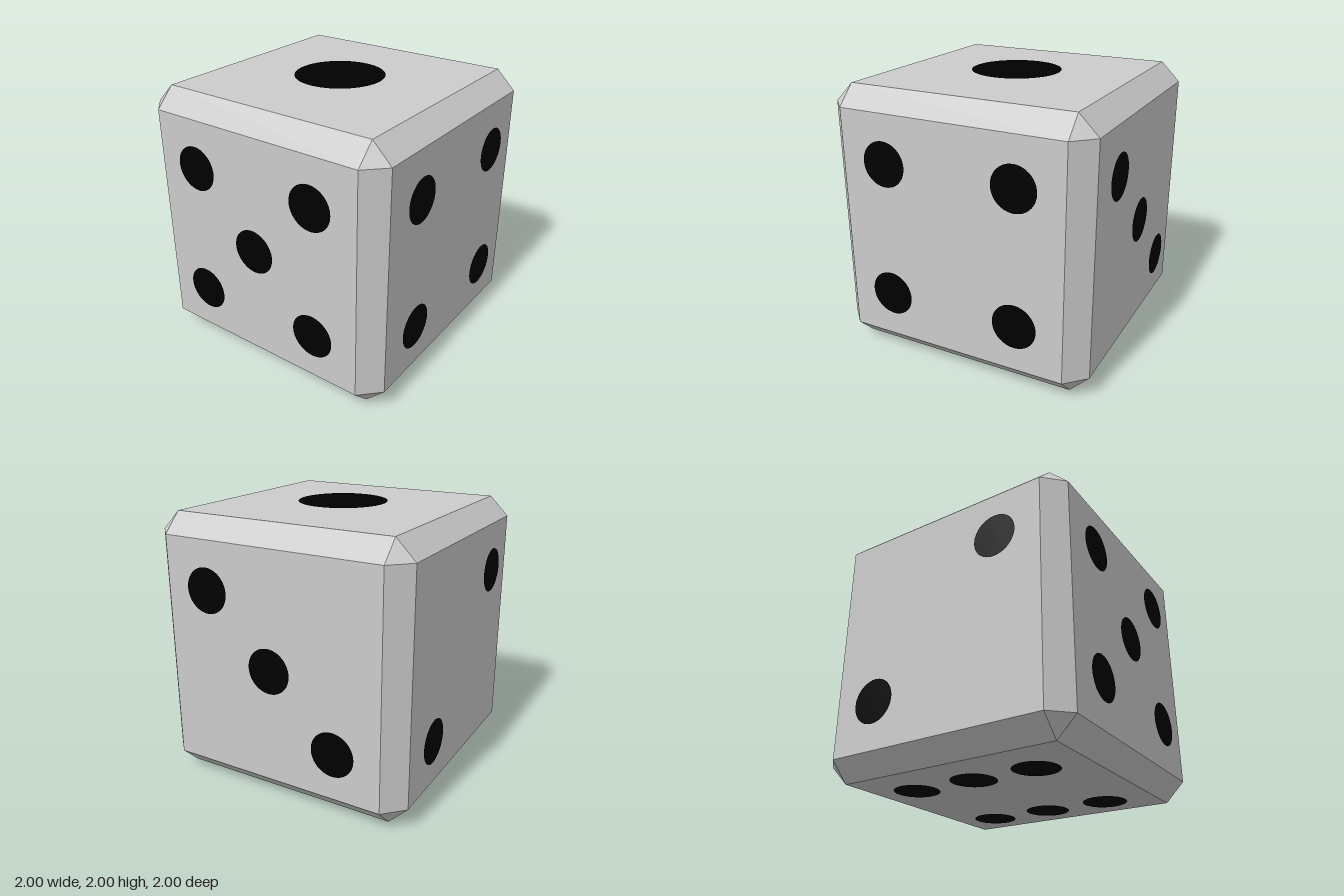
import * as THREE from 'three';
import { ConvexGeometry } from 'three/addons/geometries/ConvexGeometry.js';

const HALF = 0.982;      // half the body width
const INNER = 0.84;      // where the flat faces end and the chamfers begin
const PIP_PLANE = 1;     // pips float just above the faces
const PIP_STEP = 0.491;
const PIP_RADIUS = 0.1637;

// Cube with chamfered edges and triangular corners
function chamferedCube() {
  const points = [];
  const signs = [-1, 1];
  for (const x of signs) for (const y of signs) for (const z of signs) {
    points.push(
      new THREE.Vector3(x * HALF, y * INNER, z * INNER),
      new THREE.Vector3(x * INNER, y * HALF, z * INNER),
      new THREE.Vector3(x * INNER, y * INNER, z * HALF)
    );
  }
  return new ConvexGeometry(points);
}

export function createModel() {
  const model = new THREE.Group();
  model.name = 'die';

  const body = new THREE.Mesh(
    chamferedCube(),
    new THREE.MeshStandardMaterial({ color: 0xcccccc, flatShading: true })
  );
  body.name = 'body';
  body.position.y = 1;
  model.add(body);

  const black = new THREE.MeshStandardMaterial({ color: 0x000000, side: THREE.DoubleSide });
  const smallPip = new THREE.CircleGeometry(PIP_RADIUS, 48);
  const largePip = new THREE.CircleGeometry(PIP_RADIUS * 2, 48);
  const corners = [[-1, -1], [1, -1], [-1, 1], [1, 1]];
  const quarter = Math.PI / 2;

  // Pip layout of each face, with the turn that carries it from the front
  const faces = [
    { name: 'frontPips', turn: [0, 0], pips: [...corners, [0, 0]] },
    { name: 'leftPips', turn: [0, quarter], pips: corners },
    { name: 'backPips', turn: [0, Math.PI], pips: [[-1, 1], [0, 0], [1, -1]] },
    { name: 'rightPips', turn: [0, -quarter], pips: [[1, 1], [-1, -1]] },
    { name: 'topPip', turn: [-quarter, 0], pips: [[0, 0]], geometry: largePip },
    { name: 'bottomPips', turn: [quarter, 0], pips: [...corners, [-1, 0], [1, 0]] }
  ];

  for (const { name, turn, pips, geometry = smallPip } of faces) {
    const face = new THREE.Group();
    face.name = name;
    face.position.y = 1;
    face.rotation.set(turn[0], turn[1], 0);
    for (const [u, v] of pips) {
      const pip = new THREE.Mesh(geometry, black);
      pip.name = 'pip';
      pip.position.set(u * PIP_STEP, v * PIP_STEP, PIP_PLANE);
      face.add(pip);
    }
    model.add(face);
  }
  return model;
}
